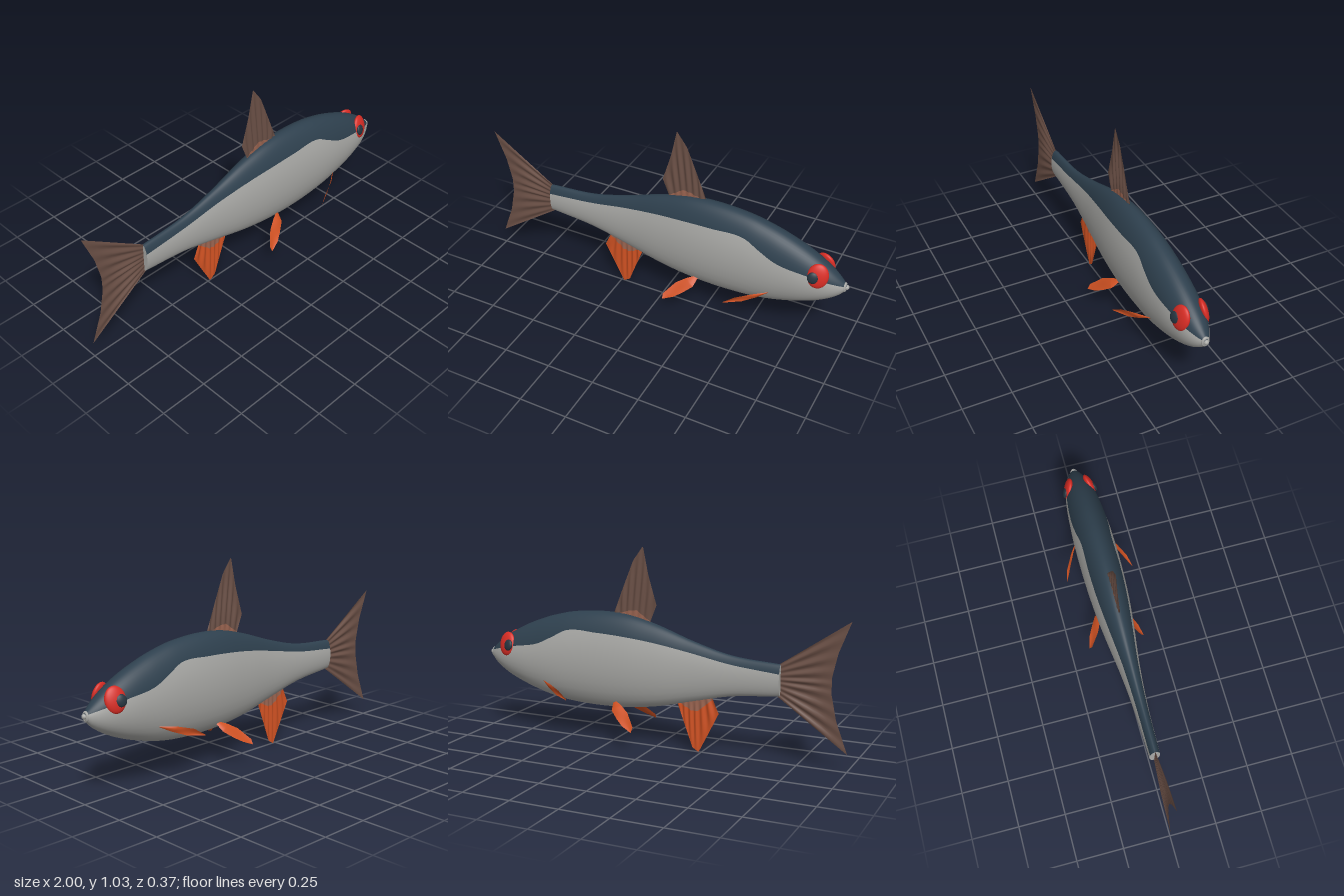
import * as THREE from 'three';

const mat = (name, color, side = THREE.FrontSide) => {
  const m = new THREE.MeshStandardMaterial({ color, side });
  m.name = name;
  return m;
};

// x, top y, bottom y, half width, y of the border between back and flank
const stations = [
  [-0.66, 0.5, 0.34, 0.028, 0.455], [-0.4, 0.522, 0.312, 0.036, 0.482],
  [-0.2, 0.575, 0.265, 0.052, 0.522], [0, 0.643, 0.216, 0.077, 0.56],
  [0.15, 0.68, 0.195, 0.093, 0.579], [0.3, 0.69, 0.187, 0.102, 0.589],
  [0.48, 0.675, 0.194, 0.105, 0.588], [0.56, 0.657, 0.205, 0.104, 0.548],
  [0.65, 0.63, 0.225, 0.1, 0.505], [0.8, 0.566, 0.275, 0.086, 0.476],
  [0.9, 0.505, 0.325, 0.063, 0.452], [0.96, 0.455, 0.37, 0.033, 0.434],
  [0.985, 0.43, 0.4, 0.013, 0.424]];

// Lofted body: elliptical rings, group 0 is the back, group 1 the flanks and belly
function bodyGeometry() {
  const spline = new THREE.CubicInterpolant(
    stations.map(s => s[0]), stations.flatMap(s => s.slice(1)), 4, new Float32Array(4));
  const rows = 72, half = 20, ring = half * 2;
  const pos = [], back = [], belly = [];
  for (let i = 0; i <= rows; i++) {
    const x = -0.66 + 1.645 * i / rows;
    const [top, bottom, w, border] = spline.evaluate(x);
    const cy = (top + bottom) / 2, h = (top - bottom) / 2;
    const a0 = Math.asin(THREE.MathUtils.clamp((border - cy) / h, -0.9, 0.9));
    for (let j = 0; j < ring; j++) {
      const a = j < half
        ? a0 + (Math.PI - 2 * a0) * j / half
        : Math.PI - a0 + (Math.PI + 2 * a0) * (j - half) / half;
      pos.push(x, cy + h * Math.sin(a), w * Math.cos(a));
    }
  }
  for (let i = 0; i < rows; i++) for (let j = 0; j < ring; j++) {
    const k = (j + 1) % ring, a = i * ring, b = a + ring;
    (j < half ? back : belly).push(a + j, b + j, b + k, a + j, b + k, a + k);
  }
  const g = new THREE.BufferGeometry();
  g.setAttribute('position', new THREE.Float32BufferAttribute(pos, 3));
  g.setIndex([...back, ...belly]);
  g.addGroup(0, back.length, 0);
  g.addGroup(back.length, belly.length, 1);
  g.computeVertexNormals();
  return g;
}

// Point at fraction u along a polyline
function along(points, u) {
  const t = u * (points.length - 1), i = Math.min(Math.floor(t), points.length - 2);
  const p = n => new THREE.Vector3(points[n][0], points[n][1], points[n][2] ?? 0);
  return p(i).lerp(p(i + 1), t - i);
}

// Ruled fin between two edges, pleated by rays; v0..v1 selects a strip of it
function finGeometry(root, edge, rays, v0 = 0, v1 = 1) {
  const nu = 48, nv = 6, pos = [], idx = [];
  for (let i = 0; i <= nu; i++) for (let j = 0; j <= nv; j++) {
    const u = i / nu, v = v0 + (v1 - v0) * j / nv;
    const p = along(root, u).lerp(along(edge, u), v);
    p.z += 0.005 * Math.sin(u * rays * Math.PI * 2) * Math.sin(v * Math.PI);
    pos.push(p.x, p.y, p.z);
    if (i < nu && j < nv) {
      const a = i * (nv + 1) + j, b = a + nv + 1;
      idx.push(a, b, b + 1, a, b + 1, a + 1);
    }
  }
  const g = new THREE.BufferGeometry();
  g.setAttribute('position', new THREE.Float32BufferAttribute(pos, 3));
  g.setIndex(idx);
  g.computeVertexNormals();
  return g;
}

export function createModel() {
  const model = new THREE.Group();
  model.name = 'fish';
  const slate = mat('slate back', 0x2e404e);
  const silver = mat('silver flank', 0xa9a9a6);
  const brown = mat('brown fin', 0x6b5046, THREE.DoubleSide);
  const rust = mat('rust fin root', 0x9a6450, THREE.DoubleSide);
  const orange = mat('orange fin', 0xcf5122, THREE.DoubleSide);
  const red = mat('red iris', 0xd62c24);
  const dark = mat('dark pupil', 0x26343f);

  const add = (name, geometry, material, parent = model) => {
    const m = new THREE.Mesh(geometry, material);
    m.name = name;
    parent.add(m);
    return m;
  };

  add('body', bodyGeometry(), [slate, silver]);

  // Flat end of the tail stalk
  const stalk = add('tailStalkEnd', new THREE.CircleGeometry(1, 32), silver);
  stalk.scale.set(0.028, 0.08, 1);
  stalk.rotation.y = -Math.PI / 2;
  stalk.position.set(-0.66, 0.42, 0);

  // Small puckered mouth
  const lips = add('lips', new THREE.TorusGeometry(0.014, 0.007, 10, 24), silver);
  lips.rotation.y = Math.PI / 2;
  lips.scale.y = 1.3;
  lips.position.set(0.977, 0.415, 0);
  const mouth = add('mouth', new THREE.SphereGeometry(0.013, 16, 12), silver);
  mouth.position.set(0.985, 0.417, 0);

  // Vertical fins
  add('tailFin', finGeometry(
    [[-0.645, 0.495], [-0.645, 0.34]],
    [[-1, 0.735], [-0.94, 0.58], [-0.913, 0.46], [-0.913, 0.38], [-0.94, 0.25], [-1, 0.09]],
    8), brown);

  const dorsalRoot = [[0.04, 0.64], [0.235, 0.675]];
  const dorsalEdge = [[0, 0.74], [0.045, 0.89], [0.075, 1.035], [0.13, 0.96], [0.185, 0.825], [0.238, 0.69]];
  add('dorsalFinRoot', finGeometry(dorsalRoot, dorsalEdge, 6, 0, 0.14), rust);
  add('dorsalFin', finGeometry(dorsalRoot, dorsalEdge, 6, 0.14, 1), brown);

  const analRoot = [[-0.3, 0.31], [-0.12, 0.26]];
  const analEdge = [[-0.342, 0.215], [-0.29, 0.11], [-0.235, 0.002], [-0.2, 0.025], [-0.16, 0.135], [-0.118, 0.245]];
  add('analFinRoot', finGeometry(analRoot, analEdge, 6, 0, 0.25), rust);
  add('analFin', finGeometry(analRoot, analEdge, 6, 0.25, 1), orange);

  // Paired parts, mirrored across the middle
  for (const [side, s] of [['left', 1], ['right', -1]]) {
    const half = new THREE.Group();
    half.name = side + 'Side';
    half.scale.z = s;
    model.add(half);

    add('pectoralFin', finGeometry(
      [[0.63, 0.308, 0.075], [0.55, 0.302, 0.13], [0.48, 0.284, 0.168], [0.425, 0.247, 0.185]],
      [[0.63, 0.308, 0.075], [0.57, 0.277, 0.112], [0.51, 0.253, 0.143], [0.425, 0.243, 0.185]],
      1), orange, half);

    add('pelvicFin', finGeometry(
      [[0.215, 0.235, 0.045], [0.17, 0.218, 0.066], [0.12, 0.188, 0.092], [0.07, 0.13, 0.138], [0.073, 0.106, 0.154]],
      [[0.225, 0.225, 0.045], [0.215, 0.19, 0.085], [0.17, 0.155, 0.115], [0.13, 0.13, 0.138], [0.073, 0.106, 0.154]],
      1), orange, half);

    // Flattened eye, tilted to follow the head
    const eye = new THREE.Group();
    eye.name = 'eye';
    eye.position.set(0.855, 0.48, 0.058);
    eye.rotation.set(-0.25, 0.25, 0);
    half.add(eye);
    add('iris', new THREE.SphereGeometry(1, 32, 20), red, eye).scale.set(0.052, 0.064, 0.021);
    const pupil = add('pupil', new THREE.SphereGeometry(1, 24, 16), dark, eye);
    pupil.scale.set(0.028, 0.03, 0.012);
    pupil.position.set(-0.022, -0.008, 0.015);
  }
  return model;
}
